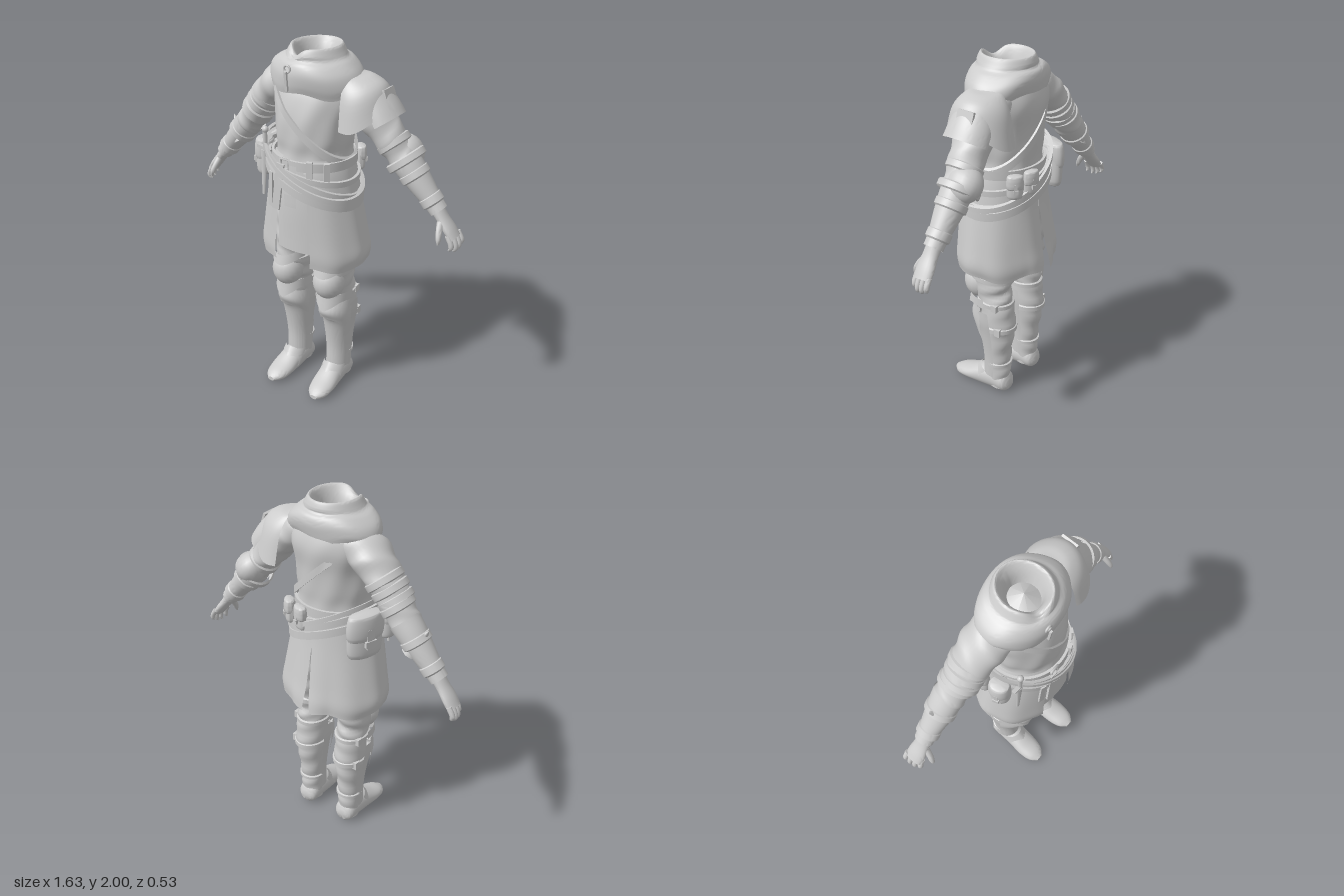
import * as THREE from 'three';
import { toCreasedNormals } from 'three/addons/utils/BufferGeometryUtils.js';

const TAU = Math.PI * 2, PI = Math.PI;
const V = (x, y, z) => new THREE.Vector3(x, y, z);
const cloth = new THREE.MeshStandardMaterial({ color: 0xcccccc, side: THREE.DoubleSide });
cloth.name = 'pale grey';
const UP = [V(0, 0, 1), V(1, 0, 0)];      // level rings: a runs along z, b along x
const ALONG_Z = [V(0, 1, 0), V(1, 0, 0)]; // upright rings: a runs along y, b along x

// Skin over elliptical sections [x, y, z, a, b]; s = -1 mirrors to the other side
function loft(secs, { n = 36, m = 5, arc = [0, TAU], uv, warp, caps = false, s = 1 } = {}) {
  const path = new THREE.CatmullRomCurve3(secs.map(q => V(q[0], q[1], q[2])), false, 'catmullrom');
  const size = new THREE.CatmullRomCurve3(secs.map(q => V(q[3], q[4], 0)), false, 'catmullrom');
  const rows = (secs.length - 1) * m, pos = [], idx = [];
  for (let i = 0; i <= rows; i++) {
    const t = i / rows, c = path.getPoint(t), r = size.getPoint(t);
    let [u, v] = uv || [];
    if (!uv) {
      const d = path.getTangent(t);
      u = V(0, 0, 1).addScaledVector(d, -d.z).normalize();
      v = u.clone().cross(d);
    }
    for (let j = 0; j <= n; j++) {
      const k = j / n, th = arc[0] + (arc[1] - arc[0]) * k;
      const p = c.clone().addScaledVector(u, Math.cos(th) * r.x).addScaledVector(v, Math.sin(th) * r.y);
      if (warp) warp(p, th, t, k);
      pos.push(p.x * s, p.y, p.z);
      if (i < rows && j < n) {
        const a = i * (n + 1) + j, b = a + n + 1;
        idx.push(a, b, a + 1, b, b + 1, a + 1);
      }
    }
  }
  if (caps) [0, rows].forEach((i, e) => {
    const c = path.getPoint(e), id = pos.length / 3;
    pos.push(c.x * s, c.y, c.z);
    for (let j = 0; j < n; j++) {
      const a = i * (n + 1) + j;
      e ? idx.push(a, id, a + 1) : idx.push(a, a + 1, id);
    }
  });
  if (s < 0) for (let i = 0; i < idx.length; i += 3) [idx[i], idx[i + 1]] = [idx[i + 1], idx[i]];
  const g = new THREE.BufferGeometry();
  g.setAttribute('position', new THREE.Float32BufferAttribute(pos, 3));
  g.setIndex(idx);
  return toCreasedNormals(g, 0.8);
}

// Flat belt around the body, optionally tilted
function belt(y, z, a, b, h, warp, t = 0.014) {
  const q = (dy, d) => [0, y + dy, z, a + d, b + d];
  return loft([q(h / 2, 0), q(h / 2, t), q(-h / 2, t), q(-h / 2, 0)], { n: 56, m: 1, uv: UP, warp });
}

export function createModel() {
  const model = new THREE.Group();
  const add = (name, geo, p = [0, 0, 0], r = [0, 0, 0], sc = [1, 1, 1]) => {
    const mesh = new THREE.Mesh(geo, cloth);
    mesh.name = name;
    mesh.position.set(...p); mesh.rotation.set(...r); mesh.scale.set(...sc);
    model.add(mesh);
  };
  const box = (w, h, d) => new THREE.BoxGeometry(w, h, d);

  // Tunic
  add('tunic', loft([[0, 1.91, -.02, .12, .13], [0, 1.84, -.02, .155, .215], [0, 1.76, -.01, .185, .235], [0, 1.65, .01, .195, .212],
    [0, 1.54, .015, .195, .208], [0, 1.46, .015, .19, .2], [0, 1.38, .02, .2, .22]], {
    n: 60, uv: UP, warp: (p, th, t) => {
      const f = 1 + .012 * Math.sin(9 * th + 10 * t) * Math.min(1, 2 * t);
      p.x *= f; p.z *= f;
    }
  }));

  // Hood gathered round the neck, notched in front, with a closed hollow
  add('cowl', loft([[0, 1.87, 0, .08, .07], [0, 1.94, 0, .1, .09], [0, 1.985, 0, .125, .108], [0, 1.998, 0, .14, .124], [0, 1.965, 0, .155, .145],
    [0, 1.945, 0, .155, .16], [0, 1.925, 0, .178, .195], [0, 1.885, 0, .19, .24], [0, 1.835, 0, .185, .262], [0, 1.795, 0, .175, .255]], {
    n: 64, uv: UP, warp: (p, th, t) => {
      const low = Math.max(0, t - .5) * 2, d = (Math.cos(th + .4) - 1) * 12;
      p.y -= .055 * Math.exp(d) * Math.max(0, 1 - Math.abs(t - .33) * 4);
      p.y += low * (.012 * Math.sin(5 * th + 1) - .025 * Math.cos(th - .5));
      const f = 1 + .025 * low * Math.sin(3 * th + 9 * t);
      p.x *= f; p.z *= f;
    }
  }));
  add('neckHollow', new THREE.ConeGeometry(.095, .06, 10), [0, 1.9, 0]);
  add('cowlClasp', new THREE.TorusGeometry(.018, .006, 6, 14), [-.05, 1.9, .185]);
  add('cowlLace', box(.014, .1, .012), [-.05, 1.84, .195], [.1, 0, 0]);

  // Strap across the chest and back
  add('chestStrap', belt(1.63, .01, .196, .213, .045, p => {
    p.y -= .95 * p.x;
    p.z *= 1 - 1.1 * Math.max(0, p.y - 1.7);
  }, .012));

  // Coat skirts: two halves open in front and slit behind
  const coat = [[0, 1.45, .02, .19, .203], [0, 1.36, .025, .21, .23], [0, 1.2, .02, .222, .262], [0, 1.0, .008, .237, .3], [0, .9, .002, .246, .316], [0, .835, 0, .245, .304]];
  for (const s of [1, -1]) add(s > 0 ? 'leftCoatSkirt' : 'rightCoatSkirt', loft(coat, {
    n: 44, uv: UP, s, arc: [.36, PI], warp: (p, th, t, k) => {
      const f = 1 + .014 * t * Math.sin(9 * th + s), slit = Math.max(0, t - .35) * Math.max(0, k - .85) / .15;
      p.x = p.x * f + .045 * slit;
      p.z = p.z * f - .03 * slit;
      p.y += .012 * t * Math.sin(5 * th);
    }
  }));
  const panel = (name, arc, bottom, d) => add(name, loft([[0, 1.42, .02, .2 + d, .21 + d], [0, 1.2, .02, .215 + d, .25 + d],
    [0, bottom, .01, .225 + d, .28 + d]], { n: 12, uv: UP, arc }));
  panel('frontUnderPanel', [-.42, .42], .92, -.01);
  panel('frontPanel', [-.2, .3], 1.0, .005);
  panel('frontNarrowPanel', [-.12, .14], 1.26, .016);

  // Belts and hip sash
  add('waistBelt', belt(1.42, .02, .2, .216, .05));
  add('hipBelt', belt(1.375, .022, .214, .235, .03, p => { p.y -= .22 * p.x; }));
  [[1.34, .42, .04], [1.295, .38, .045], [1.37, .5, .028]].forEach(([y, tilt, h], i) =>
    add('hipSash', belt(y, .02, .222 + i * .004, .25 + i * .006, h, p => { p.y -= tilt * p.x + .1 * Math.max(0, p.z) * (i - 1); })));
  add('beltBuckle', new THREE.TorusGeometry(.034, .008, 6, 4), [-.04, 1.42, .232], [0, 0, PI / 4]);
  add('hangingStrap', box(.045, .26, .012), [-.075, 1.29, .245], [-.03, 0, -.12]);
  add('hangingStrap', box(.03, .2, .012), [-.13, 1.26, .232], [0, -.3, -.06]);
  add('beltLoop', box(.03, .11, .02), [.1, 1.4, .215], [0, .35, 0]);
  add('beltLoop', box(.03, .11, .02), [.17, 1.39, .165], [0, .8, 0]);

  // Sheathed dagger on the right hip
  add('daggerSheath', new THREE.CylinderGeometry(.022, .009, .26, 8), [-.23, 1.3, .16], [0, 0, -.05], [1, 1, .6]);
  add('daggerGuard', box(.085, .016, .022), [-.222, 1.44, .16], [0, 0, -.2]);
  add('daggerGrip', new THREE.CylinderGeometry(.012, .012, .1, 8), [-.217, 1.49, .16]);
  add('daggerPommel', new THREE.SphereGeometry(.018, 10, 8), [-.214, 1.545, .16]);

  // Pouches: rounded body, flap and strap, turned to face outward
  const pouch = (x, y, z, w, h, d) => {
    const g = new THREE.Group();
    g.name = 'pouch'; g.position.set(x, y, z); g.rotation.y = Math.atan2(x, z);
    const fat = (k, hh) => loft([[0, hh, 0, d * .3, w * .36 * k], [0, hh * .85, 0, d * .45, w * .45 * k], [0, 0, 0, d * .5 * k, w * .5 * k],
      [0, -hh * .8, 0, d * .48, w * .47 * k], [0, -hh, 0, d * .25, w * .33 * k]], { n: 24, uv: UP, caps: true });
    [['pouchBody', fat(1, h / 2), 0, 0], ['pouchFlap', fat(1.06, h * .3), h * .22, .006],
      ['pouchStrap', box(w * .2, h * .45, .014), 0, d * .52], ['pouchButton', box(w * .3, h * .14, .02), -h * .1, d * .54]]
      .forEach(([name, geo, py, pz]) => {
        const mesh = new THREE.Mesh(geo, cloth);
        mesh.name = name; mesh.position.set(0, py, pz); g.add(mesh);
      });
    model.add(g);
  };
  pouch(-.255, 1.335, -.09, .21, .25, .1);
  pouch(-.275, 1.36, .08, .11, .2, .1);
  pouch(.07, 1.37, -.195, .085, .13, .055);
  pouch(.165, 1.37, -.165, .085, .13, .055);

  for (const s of [1, -1]) {
    const side = s > 0 ? 'left' : 'right';
    const put = (name, secs, o = {}) => add(side + name, loft(secs, { s, ...o }));
    const ball = (name, r, x, y, z, sc, rz = 0) => add(side + name, new THREE.SphereGeometry(r, 20, 14), [x * s, y, z], [0, 0, rz * s], sc);
    // Raised band round a limb, running down and outward by (dx, dy)
    const strap = (name, x, y, z, dx, dy, a, b) => put(name, [-1, -.7, .7, 1].map(k => {
      const r = Math.abs(k) < 1 ? .01 : 0;
      return [x + dx * k, y - dy * k, z, a + r, b + r];
    }), { m: 1 });

    // Arms
    put('Sleeve', [[.13, 1.81, -.02, .11, .08], [.23, 1.755, -.03, .12, .1], [.31, 1.685, -.04, .108, .09], [.39, 1.59, -.05, .096, .082],
      [.46, 1.5, -.06, .085, .074], [.51, 1.44, -.065, .08, .072]], {
      warp: (p, th, t) => { p.y += .006 * Math.sin(28 * t + 2 * th); p.z += .004 * Math.sin(30 * t + th); }
    });
    put('Bracer', [[.47, 1.485, -.065, .085, .08], [.52, 1.43, -.066, .08, .074], [.58, 1.36, -.068, .07, .063], [.65, 1.28, -.07, .054, .05], [.69, 1.235, -.07, .052, .046]]);
    strap('BracerStrap', .545, 1.4, -.067, .015, .018, .074, .068);
    strap('WristStrap', .645, 1.285, -.07, .018, .021, .054, .049);
    strap('ElbowStrap', .425, 1.545, -.057, .014, .017, .088, .078);

    // Hands
    put('Palm', [[.68, 1.245, -.07, .042, .035], [.715, 1.2, -.07, .044, .028], [.755, 1.15, -.072, .052, .025], [.785, 1.11, -.075, .05, .021]], { n: 20, caps: true });
    for (let i = 0; i < 4; i++) {
      const z = -.03 - i * .029, l = [.9, 1.05, 1, .8][i], x = .775 + [-.012, 0, .004, .004][i];
      put('Finger', [[x, 1.13, z, .014, .014], [x + .022, 1.13 - .045 * l, z, .015, .014], [x + .024, 1.13 - .07 * l, z, .013, .013],
        [x + .014, 1.13 - .085 * l, z + .003, .005, .005]], { n: 10, m: 3, caps: true });
    }
    put('Thumb', [[.715, 1.19, -.04, .018, .018], [.725, 1.15, -.01, .017, .016], [.733, 1.115, .008, .014, .013], [.735, 1.09, .014, .005, .005]], { n: 10, m: 3, caps: true });

    // Legs and boots
    put('Trouser', [[.115, 1.15, 0, .15, .11], [.125, .98, 0, .15, .105], [.135, .84, .005, .14, .095], [.135, .72, .01, .12, .086], [.137, .62, -.02, .1, .083]], {
      uv: UP, warp: (p, th, t) => { const q = .008 * Math.sin(30 * t + 2 * th); p.z -= q; p.x += q * .5; }
    });
    put('BootShaft', [[.138, .62, -.025, .1, .082], [.14, .5, -.04, .1, .086], [.14, .38, -.04, .088, .078], [.138, .24, -.04, .07, .068], [.137, .14, -.04, .067, .064], [.137, .03, -.045, .064, .062]], {
      uv: UP, caps: true, warp: (p, th, t) => { p.z += .005 * Math.sin(34 * t + th); }
    });
    put('Foot', [[.137, .05, -.115, .03, .035], [.137, .06, -.09, .06, .06], [.138, .07, -.02, .075, .066], [.14, .06, .06, .07, .068],
      [.145, .042, .15, .045, .07], [.148, .03, .22, .03, .056], [.15, .025, .262, .012, .022]], {
      n: 28, uv: ALONG_Z, caps: true, warp: p => { p.y = Math.max(p.y, 0); }
    });

    // Greaves: flared top, open at the back
    put('Greave', [[.145, .58, -.02, .115, .104], [.143, .5, -.025, .128, .102], [.14, .4, -.03, .105, .09], [.138, .25, -.035, .088, .076], [.137, .11, -.03, .083, .072]], {
      uv: UP, arc: [-1.75, 1.75], warp: (p, th, t) => { p.y -= Math.max(0, 1 - 2.6 * t) * .08 * Math.cos(th) ** 2; }
    });
    put('GreaveBrow', [[.141, .58, -.02, .125, .104], [.141, .52, -.02, .145, .106], [.14, .47, -.025, .128, .098]], {
      uv: UP, arc: [-1.3, 1.3], warp: (p, th, t) => { p.y += (1 - t) * .02 * Math.sin(th) - .05 * t * th * th; }
    });
    [.13, .1, .075].forEach((y, i) => put('InstepPlate', [[.138, y, i * .025, .075, .068], [.139, y - .03, .02 + i * .028, .08, .07]],
      { n: 16, uv: UP, arc: [-1.4, 1.4], warp: p => { p.y += .02 - .25 * Math.abs(p.x - .138); } }));

    // Knee armour with lames and a pointed lower plate
    ball('KneeCap', .09, .137, .71, .085, [.98, 1.12, 1.02]);
    put('KneeUpperLame', [[.135, .845, .01, .15, .104], [.135, .79, .02, .155, .104]], { uv: UP, arc: [-1.7, 1.7], warp: (p, th) => { p.y -= .025 * Math.cos(th * 2); } });
    put('KneeLowerPlate', [[.137, .65, 0, .136, .098], [.137, .6, 0, .15, .1]], {
      uv: UP, n: 30, arc: [-1.6, 1.6], warp: (p, th, t) => { p.y -= t * .06 * Math.max(0, 1 - Math.abs(th) / .9); }
    });
    strap('ThighStrap', .135, .775, .005, 0, .018, .125, .088);
    strap('KneeStrap', .137, .615, -.02, 0, .016, .1, .084);
    strap('CalfStrap', .14, .46, -.04, 0, .018, .1, .084);
    strap('AnkleStrap', .138, .2, -.04, 0, .012, .068, .066);
    add(side + 'CalfBuckle', box(.03, .045, .035), [.215 * s, .46, -.09]);
    add(side + 'KneeBuckle', box(.03, .04, .035), [.215 * s, .615, -.07]);

    if (s > 0) {
      // Left shoulder plates draped front and back, and round elbow guard
      put('ShoulderPlate', [[.2, 1.875, -.03, .05, .03], [.225, 1.855, -.03, .1, .08], [.25, 1.78, -.03, .15, .125], [.265, 1.62, -.033, .185, .15]], {
        arc: [-.3, PI + .3], uv: UP, warp: (p, th, t) => { p.y += .11 * t * t * Math.max(0, Math.sin(th)) ** 2; }
      });
      put('LowerShoulderPlate', [[.3, 1.76, -.035, .115, .1], [.35, 1.7, -.04, .125, .1], [.385, 1.65, -.04, .13, .1]], { arc: [.1, PI - .1] });
      add('shoulderTab', box(.014, .1, .095), [.4, 1.775, -.045], [0, 0, .35]);
      ball('ElbowGuard', .095, .478, 1.495, -.1, [.85, 1, 1], .7);
      strap('ElbowRim', .49, 1.465, -.072, .014, .017, .1, .096);
    } else {
      // Right arm straps and elbow wing
      [[.335, 1.655, .1], [.37, 1.613, .096], [.405, 1.57, .092]].forEach(([x, y, a]) => strap('ArmStrap', x, y, -.045, .014, .017, a, a - .012));
      add('rightElbowWing', new THREE.ConeGeometry(.075, .15, 12), [-.575, 1.415, -.07], [0, 0, .55], [.8, 1, 1.05]);
    }
  }
  return model;
}
